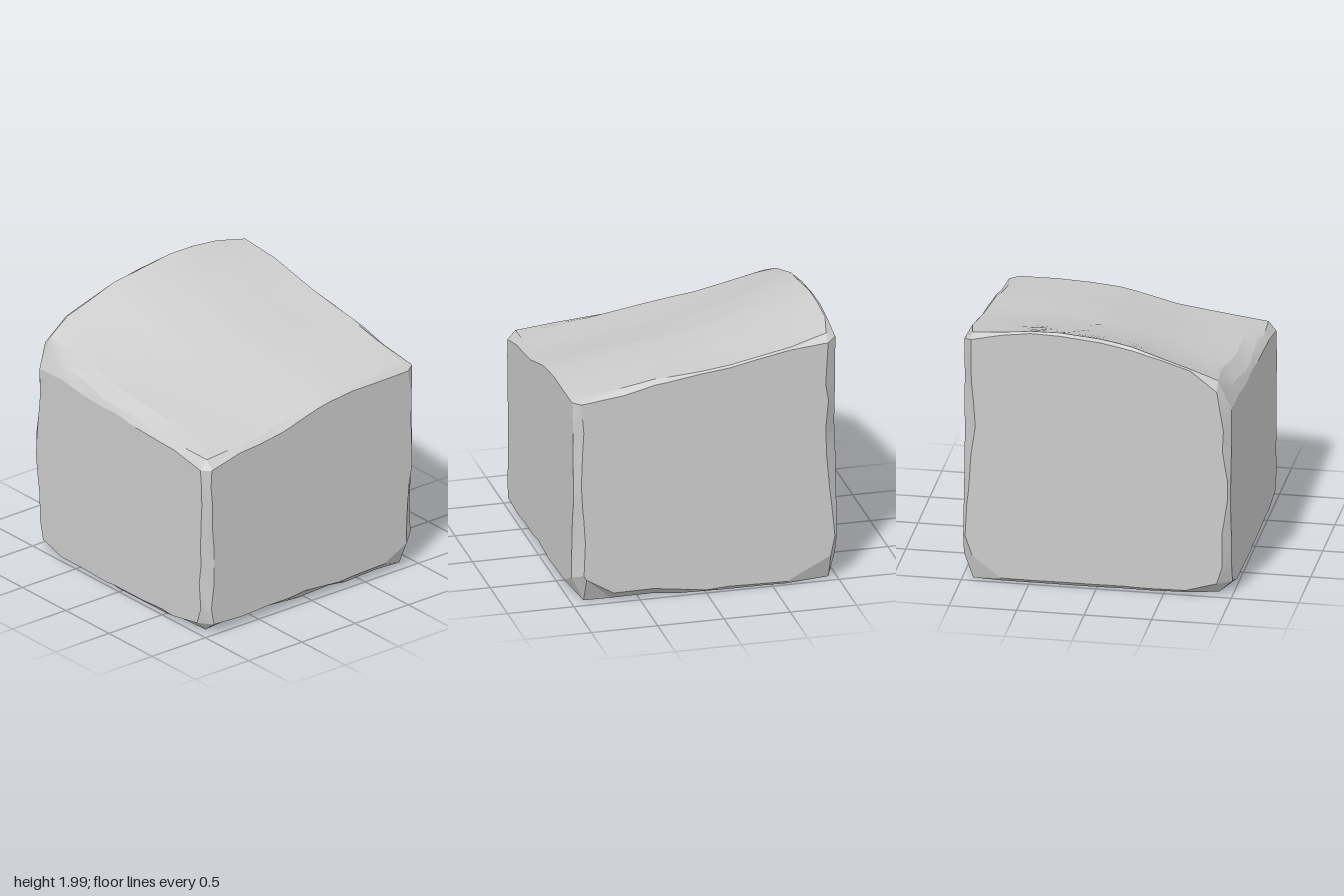
import * as THREE from 'three';
import { toCreasedNormals } from 'three/addons/utils/BufferGeometryUtils.js';

// Half width of the block
const HALF = 0.99;

// Rims of the sloping top, as [position, y]
const FRONT = [[-1, 1.38], [-0.35, 1.45], [0.15, 1.57], [0.5, 1.6], [1, 1.6]];
const BACK = [[-1, 1.54], [-0.88, 1.73], [-0.67, 1.79], [-0.22, 1.94], [0.15, 2], [0.5, 1.995], [1, 1.94]];
const LEFT = [[-1, 1.94], [-0.1, 1.76], [0.35, 1.72], [1, 1.6]];
const RIGHT = [[-1, 1.54], [-0.5, 1.46], [1, 1.38]];

// Chipped corners: signs x, y, z and the insets along x, y, z
const CORNERS = [
  [1, -1, 1, 0.09, 0.24, 0.09], [-1, -1, 1, 0.08, 0.11, 0.1],
  [1, -1, -1, 0.07, 0.2, 0.05], [-1, -1, -1, 0.1, 0.12, 0.1],
  [1, 1, 1, 0.08, 0.03, 0.05], [-1, 1, 1, 0.06, 0.09, 0.06],
  [1, 1, -1, 0.06, 0.05, 0.07], [-1, 1, -1, 0.1, 0.1, 0.06],
];

// Worn edges: axis, signs of the two other axes, wear near the start, middle and end
const EDGES = [
  [1, 1, 1, 0.075, 0.05, 0.06], [1, -1, 1, 0.07, 0.07, 0.06],
  [1, 1, -1, 0.015, 0.07, 0.08], [1, -1, -1, 0.07, 0.015, 0.06],
  [0, -1, 1, 0.11, 0.11, 0.12], [0, -1, -1, 0.04, 0.03, 0.04],
  [0, 1, 1, 0.04, 0.04, 0.03], [0, 1, -1, 0.02, 0.03, 0.02],
  [2, 1, -1, 0.02, 0.03, 0.1], [2, -1, -1, 0.04, 0.03, 0.05],
  [2, 1, 1, 0.015, 0.015, 0.05], [2, -1, 1, 0.04, 0.03, 0.05],
];

const { lerp } = THREE.MathUtils;

function makeRandom(seed) {
  let state = seed;
  return () => (state = (state * 16807) % 2147483647) / 2147483647;
}

function sample(list, t) {
  let k = 1;
  while (k < list.length - 1 && list[k][0] < t) k++;
  const [a, b] = [list[k - 1], list[k]];
  return lerp(a[1], b[1], (t - a[0]) / (b[0] - a[0]));
}

// Top height blended from the four rims, slightly dished in the middle
function topHeight(x, z) {
  const u = (x + 1) / 2, v = (z + 1) / 2;
  const corners = lerp(lerp(1.54, 1.94, u), lerp(1.38, 1.6, u), v);
  const rims = lerp(sample(BACK, x), sample(FRONT, x), v) + lerp(sample(RIGHT, z), sample(LEFT, z), u);
  return rims - corners - 0.05 * (1 - x * x) * (1 - z * z);
}

// Block coordinates (-1 to 1 on each axis, y measured from base to top) to a point in space
const place = (p) => new THREE.Vector3(p.x * HALF, ((p.y + 1) / 2) * topHeight(p.x, p.z), p.z * HALF);

function blockGeometry() {
  const random = makeRandom(41);
  const points = [];
  const faces = new Map();
  const addToFace = (axis, sign, p) => {
    const key = `${axis},${sign}`;
    if (!faces.has(key)) faces.set(key, { axis, sign, outline: [] });
    faces.get(key).outline.push(p);
  };
  // Adds a triangle turned to face away from the centre
  const tri = (a, b, c) => {
    const normal = b.clone().sub(a).cross(c.clone().sub(a));
    const outward = normal.dot(a.clone().add(b).add(c)) > 0;
    points.push(...(outward ? [a, b, c] : [a, c, b]).map(place));
  };

  // Corner chips
  const chips = new Map();
  for (const [sx, sy, sz, ...inset] of CORNERS) {
    const signs = [sx, sy, sz];
    const chip = signs.map((_, f) => new THREE.Vector3(...signs.map((s, k) => (k === f ? s : s * (1 - inset[k])))));
    chip.forEach((p, f) => addToFace(f, signs[f], p));
    chips.set(signs.join(), chip);
    tri(...chip);
  }

  // Worn strips along the edges, with uneven nicks
  for (const [axis, si, sj, start, middle, end] of EDGES) {
    const [i, j] = [0, 1, 2].filter((k) => k !== axis);
    const wear = [[-0.6, start], [0, middle], [0.6, end]];
    const chipEnd = (s) => {
      const signs = [];
      signs[axis] = s; signs[i] = si; signs[j] = sj;
      const chip = chips.get(signs.join());
      return [chip[i], chip[j]];
    };
    const strip = [chipEnd(-1)];
    for (let k = -3; k <= 3; k++) {
      const t = k * 0.22 + (random() - 0.5) * 0.12;
      const inset = () => sample(wear, THREE.MathUtils.clamp(t, -0.6, 0.6)) * (0.7 + 0.6 * random());
      const p = new THREE.Vector3().setComponent(axis, t);
      const a = p.clone().setComponent(i, si).setComponent(j, sj * (1 - inset()));
      const b = p.clone().setComponent(i, si * (1 - inset())).setComponent(j, sj);
      addToFace(i, si, a);
      addToFace(j, sj, b);
      strip.push([a, b]);
    }
    strip.push(chipEnd(1));
    for (let k = 1; k < strip.length; k++) {
      const [a, b] = strip[k - 1], [c, d] = strip[k];
      tri(a, b, c);
      tri(b, d, c);
    }
  }

  // Six broad faces; the top gets inner rings so it can curve
  for (const { axis, sign, outline } of faces.values()) {
    const [i, j] = [0, 1, 2].filter((k) => k !== axis);
    const angle = (p) => Math.atan2(p.getComponent(j), p.getComponent(i));
    outline.sort((p, q) => angle(p) - angle(q));
    const rings = axis === 1 && sign === 1 ? 10 : 1;
    const at = (k, r) => outline[k % outline.length].clone().multiplyScalar(r / rings).setComponent(axis, sign);
    for (let k = 0; k < outline.length; k++) {
      for (let r = 1; r <= rings; r++) {
        tri(at(k, r - 1), at(k, r), at(k + 1, r));
        if (r > 1) tri(at(k, r - 1), at(k + 1, r), at(k + 1, r - 1));
      }
    }
  }

  return toCreasedNormals(new THREE.BufferGeometry().setFromPoints(points), 0.3);
}

export function createModel() {
  const model = new THREE.Group();
  model.name = 'stoneBlock';
  const stone = new THREE.Mesh(blockGeometry(), new THREE.MeshStandardMaterial({ color: 0xcccccc }));
  stone.name = 'chippedStone';
  model.add(stone);
  return model;
}
